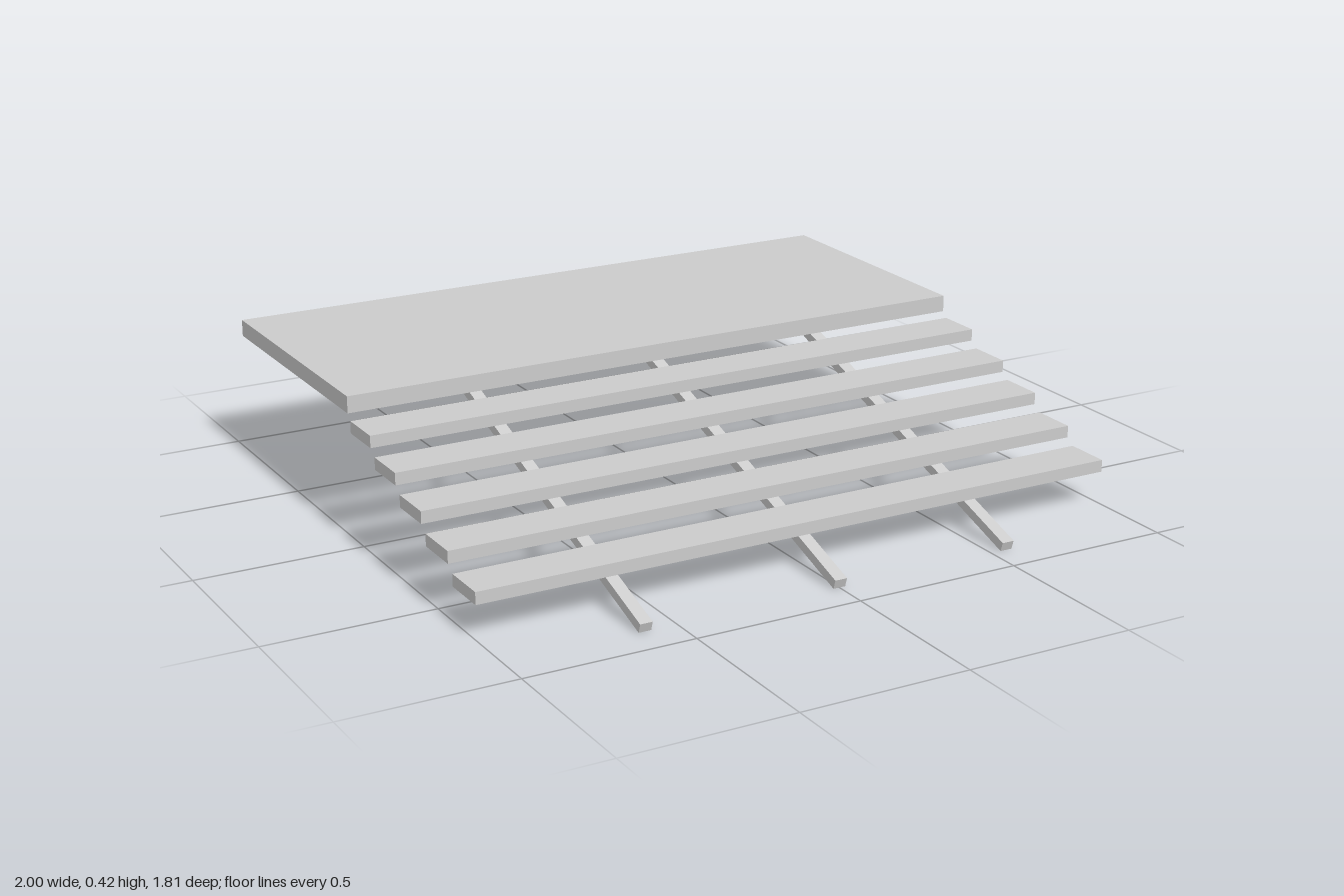
import * as THREE from 'three';

const material = new THREE.MeshStandardMaterial({ color: 0xcccccc, flatShading: true });

function addBox(group, name, size, position) {
  const mesh = new THREE.Mesh(new THREE.BoxGeometry(...size), material);
  mesh.name = name;
  mesh.position.set(...position);
  group.add(mesh);
  return mesh;
}

export function createModel() {
  const group = new THREE.Group();
  group.name = 'openStairs';

  // Upper landing slab
  addBox(group, 'landing', [2, 0.05, 0.825], [0, 0.395, -0.4925]);

  // Five open treads, rising toward the back
  for (let i = 0; i < 5; i++) {
    addBox(group, `tread${i + 1}`, [2, 0.036, 0.139], [0, 0.118 + i * 0.0542, 0.668 - i * 0.1653]);
  }

  // Sloping stringers under the treads
  const low = { y: 0.014, z: 0.9 }, high = { y: 0.355, z: -0.146 };
  const rise = high.y - low.y, run = low.z - high.z;
  [-0.595, 0, 0.55].forEach((x, i) => {
    const beam = addBox(group, `stringer${i + 1}`, [0.037, 0.028, Math.hypot(rise, run)],
      [x, (low.y + high.y) / 2, (low.z + high.z) / 2]);
    beam.rotation.x = Math.atan2(rise, run);
  });

  return group;
}
